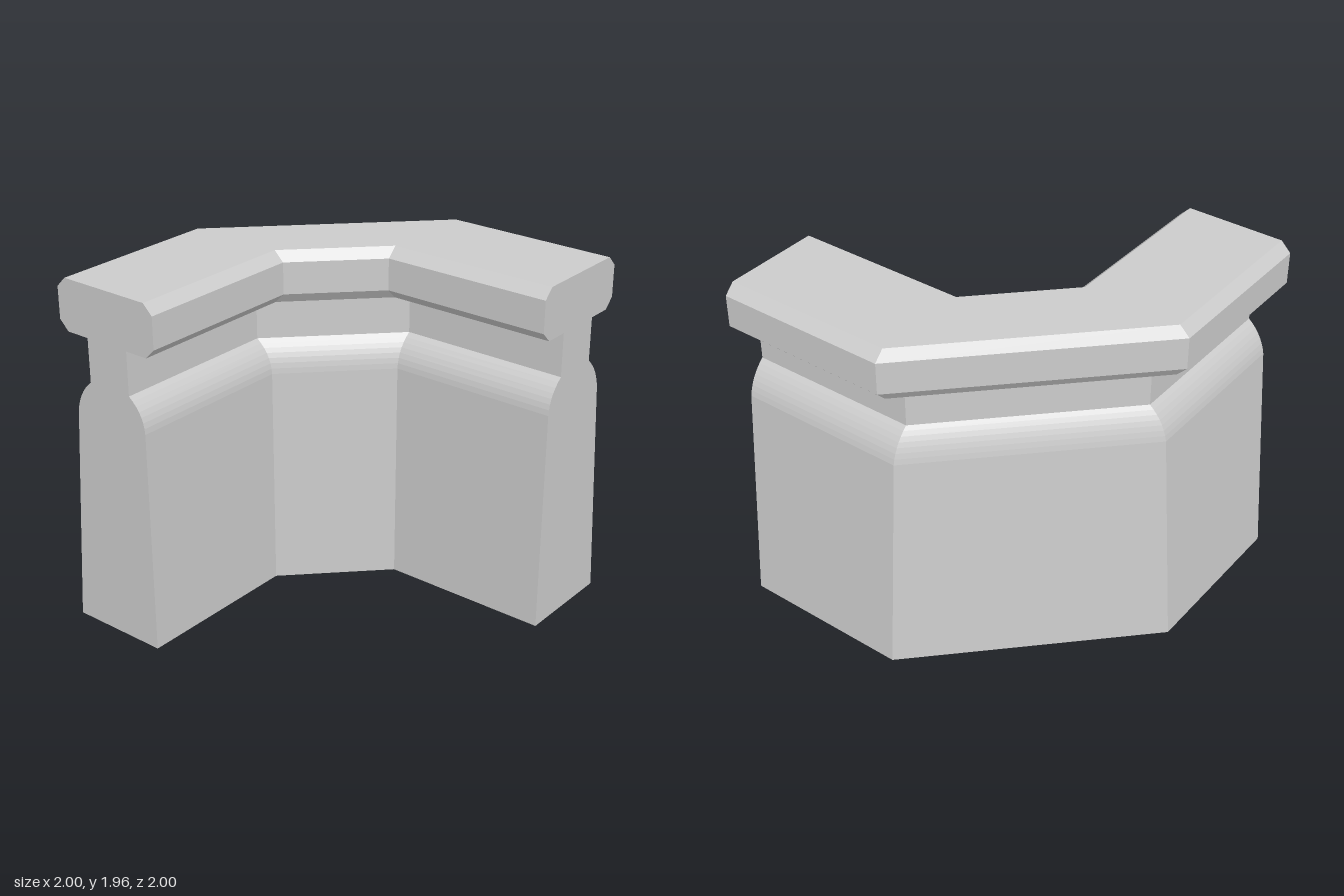
import * as THREE from 'three';

// Closed cross-section, counter-clockwise, of the wall at its front end
function wallProfile() {
  const s = new THREE.Shape();
  s.moveTo(0.43, 0);
  s.lineTo(1, 0);                                  // foot
  s.lineTo(0.905, 1.25);                           // battered outer face
  s.quadraticCurveTo(0.885, 1.36, 0.8, 1.43);      // outer shoulder
  s.lineTo(0.8, 1.67);                             // neck
  s.lineTo(0.937, 1.67);                           // chamfered coping
  s.lineTo(0.992, 1.725);
  s.lineTo(0.992, 1.9);
  s.lineTo(0.937, 1.955);
  s.lineTo(0.395, 1.955);
  s.lineTo(0.34, 1.9);
  s.lineTo(0.34, 1.725);
  s.lineTo(0.395, 1.67);
  s.lineTo(0.53, 1.67);
  s.lineTo(0.53, 1.43);                            // neck
  s.quadraticCurveTo(0.435, 1.36, 0.43, 1.25);     // inner shoulder
  s.lineTo(0.43, 0);
  const pts = s.getPoints(7);
  pts.pop();
  return pts;
}

// Sweep the profile through front end, two mitred corners and left end
function sweep(profile) {
  const stations = [
    p => [p.x, p.y, 1],
    p => [p.x, p.y, 0.047],
    p => [-0.047, p.y, -p.x],
    p => [-1, p.y, -p.x],
  ];
  const n = profile.length, positions = [], index = [];
  for (const place of stations) for (const p of profile) positions.push(...place(p));
  for (let s = 0; s < stations.length - 1; s++) {
    for (let i = 0; i < n; i++) {
      const j = (i + 1) % n;
      const a = s * n + i, b = (s + 1) * n + i, c = (s + 1) * n + j, d = s * n + j;
      index.push(a, b, c, a, c, d);
    }
  }
  // End caps
  const last = (stations.length - 1) * n;
  for (const [a, b, c] of THREE.ShapeUtils.triangulateShape(profile, [])) {
    index.push(a, b, c, last + a, last + c, last + b);
  }
  const g = new THREE.BufferGeometry();
  g.setAttribute('position', new THREE.Float32BufferAttribute(positions, 3));
  g.setIndex(index);
  const flat = g.toNonIndexed();
  flat.computeVertexNormals();
  return flat;
}

export function createModel() {
  const group = new THREE.Group();
  group.name = 'cornerWall';
  const material = new THREE.MeshStandardMaterial({ color: 0xcccccc, flatShading: true });
  const wall = new THREE.Mesh(sweep(wallProfile()), material);
  wall.name = 'wallWithCoping';
  group.add(wall);
  return group;
}
